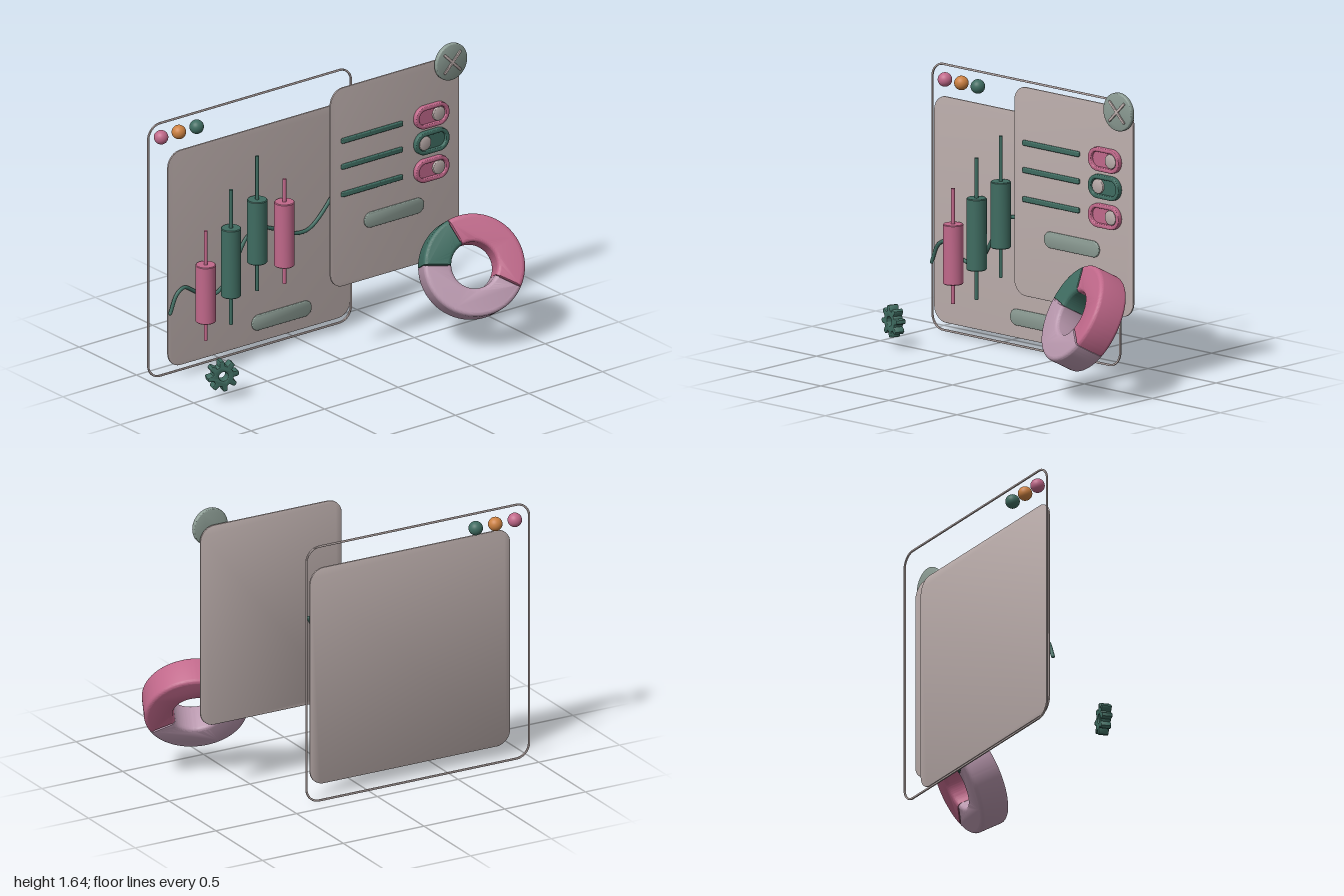
import * as THREE from 'three';
import { toCreasedNormals } from 'three/addons/utils/BufferGeometryUtils.js';

const material = (name, color) => {
  const m = new THREE.MeshStandardMaterial({ color });
  m.name = name;
  return m;
};

// Rounded rectangle centred on the origin
function roundedRect(w, h, r, Type = THREE.Shape) {
  const s = new Type(), x = w / 2, y = h / 2;
  s.moveTo(-x + r, -y);
  s.lineTo(x - r, -y);
  s.absarc(x - r, -y + r, r, -Math.PI / 2, 0, false);
  s.lineTo(x, y - r);
  s.absarc(x - r, y - r, r, 0, Math.PI / 2, false);
  s.lineTo(-x + r, y);
  s.absarc(-x + r, y - r, r, Math.PI / 2, Math.PI, false);
  s.lineTo(-x, -y + r);
  s.absarc(-x + r, -y + r, r, Math.PI, Math.PI * 1.5, false);
  return s;
}

// Extrusion from z = 0 to z = depth with rounded edges kept inside the outline
function slab(shape, depth, bevel, curveSegments = 14) {
  const g = new THREE.ExtrudeGeometry(shape, {
    depth: depth - 2 * bevel, curveSegments, bevelEnabled: bevel > 0,
    bevelSize: bevel, bevelThickness: bevel, bevelOffset: -bevel, bevelSegments: 4,
  });
  g.translate(0, 0, bevel);
  return toCreasedNormals(g, 0.6);
}

export function createModel() {
  const root = new THREE.Group();
  root.name = 'dashboard';
  const taupe = material('taupe', 0xbdafad);
  const pink = material('pink', 0xc0688a);
  const green = material('deep green', 0x3f6c61);
  const mauve = material('mauve', 0xb897ad);
  const orange = material('orange', 0xcb8041);
  const sage = material('sage', 0x8b9b93);

  const add = (name, geometry, mat, x = 0, y = 0, z = 0, parent = root) => {
    const m = new THREE.Mesh(geometry, mat);
    m.name = name;
    m.position.set(x, y, z);
    parent.add(m);
    return m;
  };

  // Thin window frame
  const outline = roundedRect(1.39, 1.475, 0.085);
  outline.holes.push(roundedRect(1.368, 1.453, 0.074, THREE.Path));
  add('windowFrame', slab(outline, 0.01, 0.003), taupe, -0.305, 0.7425, -0.41);

  // Window dots
  [pink, orange, green].forEach((mat, i) =>
    add('windowDot', new THREE.SphereGeometry(0.039, 32, 20), mat, -0.905 + i * 0.121, 1.39, -0.407));

  // Chart panel and settings panel
  add('chartPanel', slab(roundedRect(1.24, 1.245, 0.085), 0.01, 0.002), taupe, -0.295, 0.6975, -0.342);
  add('settingsPanel', slab(roundedRect(0.875, 1.15, 0.085), 0.01, 0.002), taupe, 0.3925, 0.985, -0.041);

  // Pill buttons
  const pill = slab(roundedRect(0.405, 0.09, 0.0449), 0.014, 0.006);
  add('chartButton', pill, sage, -0.147, 0.19, -0.335);
  add('settingsButton', pill, sage, 0.383, 0.75, -0.034);

  // Candlesticks: x, body bottom, body top, wick bottom, wick top
  const candles = [
    [-0.712, 0.32, 0.65, 0.21, 0.845, pink],
    [-0.54, 0.425, 0.82, 0.26, 1.04, green],
    [-0.362, 0.575, 0.94, 0.41, 1.19, green],
    [-0.177, 0.51, 0.88, 0.405, 1.01, pink],
  ];
  for (const [x, b0, b1, w0, w1, mat] of candles) {
    const h = (b1 - b0) / 2;
    const profile = [[0, -h], [0.051, -h], [0.055, -h + 0.004], [0.055, h - 0.004], [0.051, h], [0, h]]
      .map(p => new THREE.Vector2(...p));
    add('candleBody', toCreasedNormals(new THREE.LatheGeometry(profile, 32), 0.6), mat, x, (b0 + b1) / 2, -0.265);
    add('candleWick', new THREE.CylinderGeometry(0.0105, 0.0105, w1 - w0, 16), mat, x, (w0 + w1) / 2, -0.265);
  }

  // Trend line behind the candles
  const trend = new THREE.CatmullRomCurve3([
    [-0.915, 0.4], [-0.87, 0.5], [-0.82, 0.528], [-0.76, 0.495], [-0.69, 0.45], [-0.61, 0.438], [-0.54, 0.485],
    [-0.46, 0.61], [-0.39, 0.715], [-0.3, 0.742], [-0.2, 0.71], [-0.06, 0.65], [0.03, 0.655], [0.15, 0.76], [0.25, 0.91], [0.32, 1.035],
  ].map(([x, y]) => new THREE.Vector3(x, y, -0.314)));
  add('trendLine', new THREE.TubeGeometry(trend, 120, 0.0105, 10), green);
  for (const t of [0, 1]) {
    const p = trend.getPoint(t);
    add('trendLineEnd', new THREE.SphereGeometry(0.0105, 10, 8), green, p.x, p.y, p.z);
  }

  // Setting rows: text bar, toggle and knob
  const bar = slab(roundedRect(0.415, 0.03, 0.008), 0.018, 0.007);
  const rim = roundedRect(0.228, 0.13, 0.0649);
  rim.holes.push(roundedRect(0.182, 0.084, 0.0419, THREE.Path));
  const rimGeo = slab(rim, 0.032, 0.006);
  const baseGeo = slab(roundedRect(0.2, 0.1, 0.0499), 0.014, 0);
  const knobGeo = slab(roundedRect(0.08, 0.08, 0.0399), 0.024, 0.004);
  [[1.255, pink, 1], [1.105, green, -1], [0.945, pink, 1]].forEach(([y, mat, side]) => {
    add('settingBar', bar, green, 0.232, y, -0.034);
    add('toggleRim', rimGeo, mat, 0.632, y, -0.036);
    add('toggleBase', baseGeo, mat, 0.632, y, -0.036);
    add('toggleKnob', knobGeo, taupe, 0.632 + side * 0.047, y, -0.034);
  });

  // Round close button with a cross
  add('closeButton', slab(roundedRect(0.21, 0.21, 0.1049), 0.028, 0.008, 20), sage, 0.75, 1.542, -0.017);
  for (const s of [-1, 1]) {
    add('closeCross', slab(roundedRect(0.158, 0.015, 0.005), 0.014, 0.004), taupe, 0.75, 1.542, 0.006)
      .rotation.z = s * Math.PI / 4;
  }

  // Tilted ring chart in three segments
  const ring = new THREE.Group();
  ring.name = 'ringChart';
  ring.lookAt(-0.36, 0.48, 0.8);
  ring.position.set(0.71, 0.438, 0.23);
  root.add(ring);
  [[-30, 115, pink], [115, 175, green], [175, 330, mauve]].forEach(([a, b, mat]) => {
    const s = new THREE.Shape();
    const a0 = THREE.MathUtils.degToRad(a + 0.3), a1 = THREE.MathUtils.degToRad(b - 0.3);
    s.absarc(0, 0, 0.279, a0, a1, false);
    s.absarc(0, 0, 0.126, a1, a0, true);
    s.closePath();
    // Main body with large rounding on the round edges, small at the seams
    const g = new THREE.ExtrudeGeometry(s, {
      depth: 0.13, curveSegments: 40, bevelSize: 0.022, bevelThickness: 0.022, bevelOffset: -0.022, bevelSegments: 5,
    });
    g.translate(0, 0, -0.065);
    // Stretch each segment's ends back so that the seams stay narrow
    const p = g.attributes.position, mid = (a0 + a1) / 2, half = (a1 - a0) / 2;
    for (let i = 0; i < p.count; i++) {
      const r = Math.hypot(p.getX(i), p.getY(i));
      let t = Math.atan2(p.getY(i), p.getX(i)) - mid;
      t = Math.atan2(Math.sin(t), Math.cos(t));
      const gap = Math.max(0, half - Math.abs(t)) * r;
      const w = Math.sign(t) * (half - (gap < 0.0225 ? gap * 0.3 : gap) / r);
      p.setXY(i, r * Math.cos(mid + w), r * Math.sin(mid + w));
    }
    add('ringSegment', toCreasedNormals(g, 0.6), mat, 0, 0, 0, ring);
  });

  // Small eight-toothed gear
  const gear = new THREE.Shape();
  for (let i = 0; i < 8; i++) {
    const c = i * Math.PI / 4 + 0.12;
    [[-0.27, 0.059], [-0.17, 0.082], [-0.1, 0.088], [0.1, 0.088], [0.17, 0.082], [0.27, 0.059]].forEach(([d, r], j) => {
      const x = r * Math.cos(c + d), y = r * Math.sin(c + d);
      if (i + j === 0) gear.moveTo(x, y); else gear.lineTo(x, y);
    });
  }
  gear.closePath();
  gear.holes.push(new THREE.Path().absarc(0, 0, 0.026, 0, Math.PI * 2, true));
  const gearGeo = slab(gear, 0.056, 0.004);
  gearGeo.translate(0, 0, -0.028);
  add('gear', gearGeo, green, -0.85, 0.148, 0.055).rotation.y = -0.34;

  return root;
}
